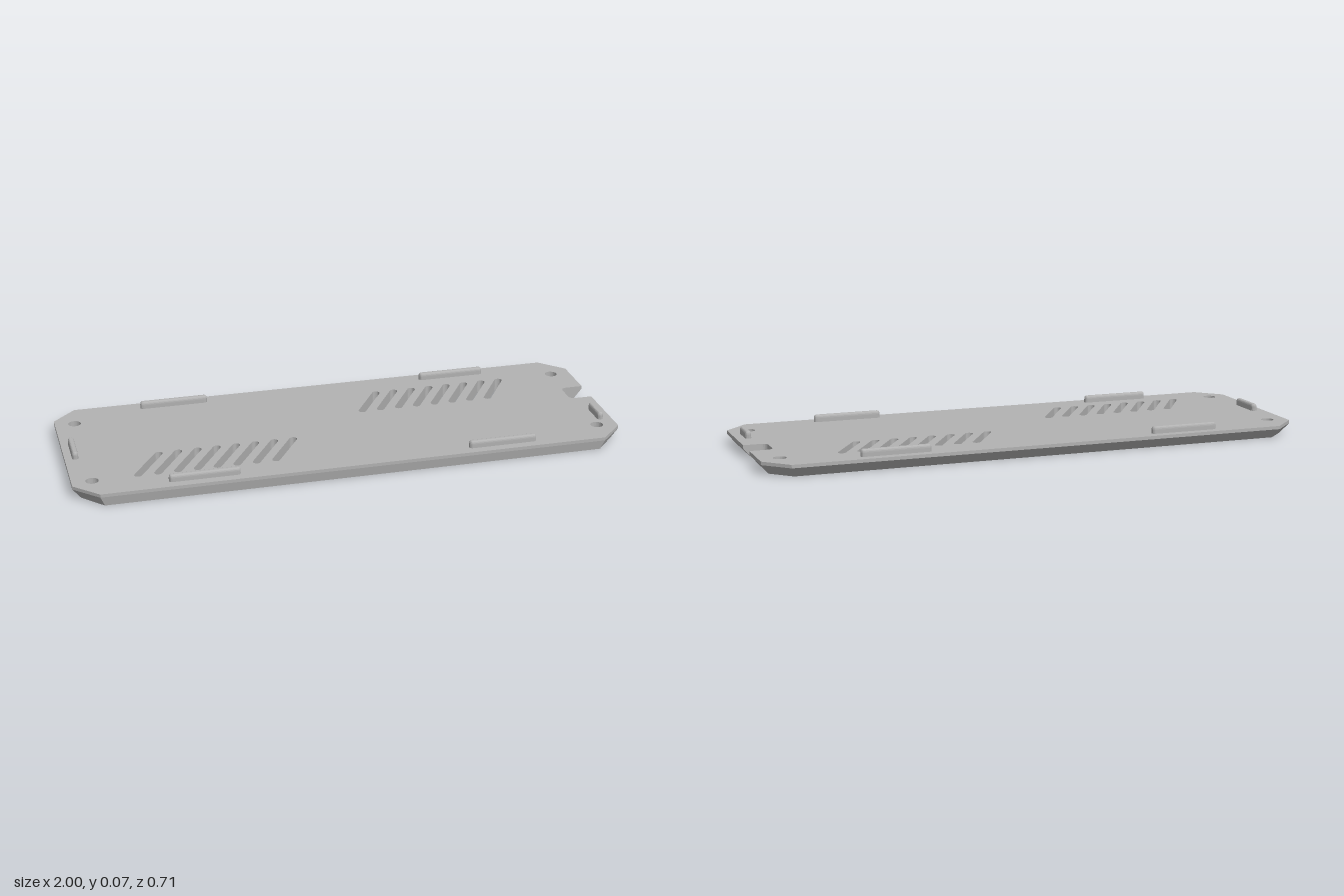
import * as THREE from 'three';
import { mergeGeometries } from 'three/addons/utils/BufferGeometryUtils.js';

const HEIGHT = 0.047, LIP = 0.035;
const V = (x, y) => new THREE.Vector2(x, y);

// Arc of plan points; plan y points to the back (-z)
function arc(cx, cy, r, from, to, n) {
  return Array.from({ length: n + 1 }, (_, i) => {
    const a = from + (to - from) * i / n;
    return V(cx + r * Math.cos(a), cy + r * Math.sin(a));
  });
}

// Plate edge; e = end x, f = front, b = back, ca.. = chamfer corners
function outline(e, f, b, cxF, cxB, cyF, cyB) {
  return [
    V(-cxF, -f), V(cxF, -f), V(e, -cyF),
    // cable notch in the +x end
    V(e, -0.003),
    ...arc(0.935, 0.017, 0.02, -Math.PI / 2, -Math.PI, 5),
    ...arc(0.935, 0.077, 0.02, Math.PI, Math.PI / 2, 5),
    V(e, 0.097),
    V(e, cyB), V(cxB, b), V(-cxB, b), V(-e, cyB), V(-e, -cyF),
  ];
}

// Flat-shaded wall through a stack of [points, height] loops
function wall(stack) {
  const pos = [];
  for (let k = 0; k + 1 < stack.length; k++) {
    const [lo, y0] = stack[k], [hi, y1] = stack[k + 1];
    lo.forEach((p, i) => {
      const j = (i + 1) % lo.length;
      const a = [p.x, y0, -p.y], b = [lo[j].x, y0, -lo[j].y];
      const c = [hi[j].x, y1, -hi[j].y], d = [hi[i].x, y1, -hi[i].y];
      pos.push(...a, ...b, ...c, ...a, ...c, ...d);
    });
  }
  const g = new THREE.BufferGeometry();
  g.setAttribute('position', new THREE.Float32BufferAttribute(pos, 3));
  g.computeVertexNormals();
  return g;
}

// Flat face with holes, facing up or down
function cap(points, holes, y, down) {
  const shape = new THREE.Shape(points);
  shape.holes = holes.map((h) => new THREE.Path(h));
  let g = new THREE.ShapeGeometry(shape);
  g.rotateX(-Math.PI / 2).translate(0, y, 0);
  if (down) g.index.array.reverse();
  g = g.toNonIndexed();
  g.deleteAttribute('uv');
  g.computeVertexNormals();
  return g;
}

// Slanted vent slot between two centre points, clockwise
function slot(x0, y0, x1, y1, r) {
  const a = Math.atan2(y1 - y0, x1 - x0), h = Math.PI / 2;
  return [...arc(x1, y1, r, a + h, a - h, 8), ...arc(x0, y0, r, a - h, a - 3 * h, 8)];
}

const circle = (x, y, r) => arc(x, y, r, 0, -2 * Math.PI, 24).slice(0, -1);

function plateGeometry() {
  const top = outline(1, 0.357, 0.357, 0.915, 0.915, 0.272, 0.272);
  const bottom = outline(0.971, 0.35, 0.328, 0.9, 0.9, 0.272, 0.257);

  const slots = [];
  for (let i = 0; i < 8; i++) {
    const s = i * 0.07;
    slots.push(slot(0.126 + s, 0.086, 0.218 + s, 0.23, 0.014));
    slots.push(slot(-0.767 + s, -0.24, -0.67 + s, -0.089, 0.014));
  }
  const narrow = [], wide = [];
  for (const x of [-0.928, 0.926]) for (const y of [-0.246, 0.236]) {
    narrow.push(circle(x, y, 0.023));
    wide.push(circle(x, y, 0.036));
  }

  return mergeGeometries([
    cap(top, [...slots, ...narrow], HEIGHT, false),
    cap(bottom, [...slots, ...wide], 0, true),
    wall([[bottom, 0], [top, LIP], [top, HEIGHT]]),
    ...slots.map((s) => wall([[s, 0], [s, HEIGHT]])),
    // screw holes, counterbored from below
    ...narrow.map((n, i) => wall([[wide[i], 0], [wide[i], 0.02], [n, 0.02], [n, HEIGHT]])),
  ]);
}

// Raised tab with rounded ends and a softened top
function tabGeometry(length) {
  const bevel = 0.007, r = 0.004, half = length / 2 - bevel - r;
  const plan = new THREE.Shape([
    ...arc(half, 0, r, -Math.PI / 2, Math.PI / 2, 6),
    ...arc(-half, 0, r, Math.PI / 2, 3 * Math.PI / 2, 6),
  ]);
  const g = new THREE.ExtrudeGeometry(plan, {
    depth: 0.02, bevelEnabled: true, bevelSize: bevel, bevelThickness: 0.012, bevelSegments: 4,
  });
  return g.rotateX(-Math.PI / 2).translate(0, 0.041, 0);
}

export function createModel() {
  const group = new THREE.Group();
  group.name = 'ventedCoverPlate';
  const grey = new THREE.MeshStandardMaterial({ color: 0xb2b2b2 });
  grey.name = 'grey';

  const add = (name, geometry) => {
    const mesh = new THREE.Mesh(geometry, grey);
    mesh.name = name;
    group.add(mesh);
    return mesh;
  };

  add('plate', plateGeometry());

  // Tabs along the long edges
  for (const [side, z] of [['front', 0.314], ['back', -0.314]]) {
    add(side + 'RightTab', tabGeometry(0.252)).position.set(-0.546, 0, z);
    add(side + 'LeftTab', tabGeometry(0.252)).position.set(0.539, 0, z);
  }
  // Tabs at the short ends
  for (const [name, x, z, length] of [['rightEndTab', -0.962, -0.003, 0.137], ['leftEndTab', 0.957, 0.156, 0.104]]) {
    const tab = add(name, tabGeometry(length));
    tab.position.set(x, 0, z);
    tab.rotation.y = Math.PI / 2;
  }
  return group;
}
